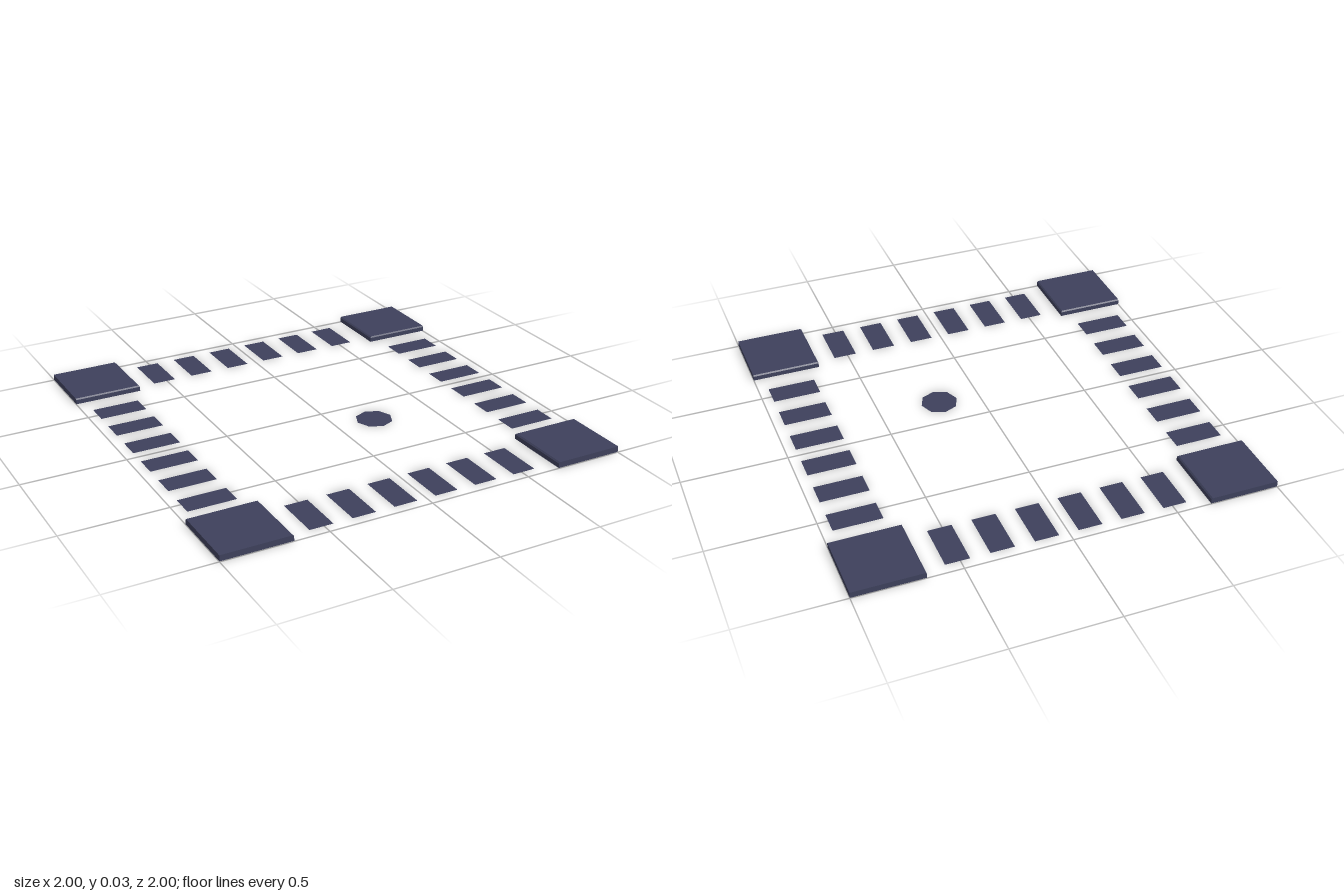
import * as THREE from 'three';

const CORNER = 0.833, ROW = 0.834;

// Corner slab with a small chamfer along the top of its two inner edges
function cornerSlab(sx, sz) {
  const bottom = 0.002, top = 0.03, half = 0.167, inset = 0.006;
  const box = new THREE.BoxGeometry(half * 2, 1, half * 2, 1, 2, 1);
  const p = box.attributes.position;
  for (let i = 0; i < p.count; i++) {
    const level = p.getY(i);
    if (level > 0.25) {
      if (p.getX(i) * sx < 0) p.setX(i, p.getX(i) + sx * inset);
      if (p.getZ(i) * sz < 0) p.setZ(i, p.getZ(i) + sz * inset);
    }
    p.setY(i, level < -0.25 ? bottom : level > 0.25 ? top : top - inset);
  }
  const geometry = box.toNonIndexed();
  geometry.computeVertexNormals();
  return geometry;
}

export function createModel() {
  const slate = new THREE.MeshStandardMaterial({ color: 0x3d405b, side: THREE.DoubleSide });
  slate.name = 'slate';
  const group = new THREE.Group();
  group.name = 'gameBoard';

  const add = (geometry, name, x, z) => {
    const mesh = new THREE.Mesh(geometry, slate);
    mesh.name = name;
    mesh.position.set(x, 0, z);
    group.add(mesh);
  };

  // Four corner slabs
  for (const sx of [-1, 1]) {
    for (const sz of [-1, 1]) add(cornerSlab(sx, sz), 'cornerSlab', sx * CORNER, sz * CORNER);
  }

  // Six flat spaces along each side
  const alongX = new THREE.PlaneGeometry(0.113, 0.232).rotateX(-Math.PI / 2);
  const alongZ = new THREE.PlaneGeometry(0.232, 0.113).rotateX(-Math.PI / 2);
  for (let i = 0; i < 6; i++) {
    const t = (i - 2.5) * 0.205;
    for (const s of [-1, 1]) {
      add(alongX, 'edgeSpace', t, s * ROW);
      add(alongZ, 'sideSpace', s * ROW, t);
    }
  }

  // Eight-sided disc inside the ring
  add(new THREE.CircleGeometry(0.09, 8).rotateX(-Math.PI / 2), 'centreDisc', 0.2, 0.165);
  return group;
}
